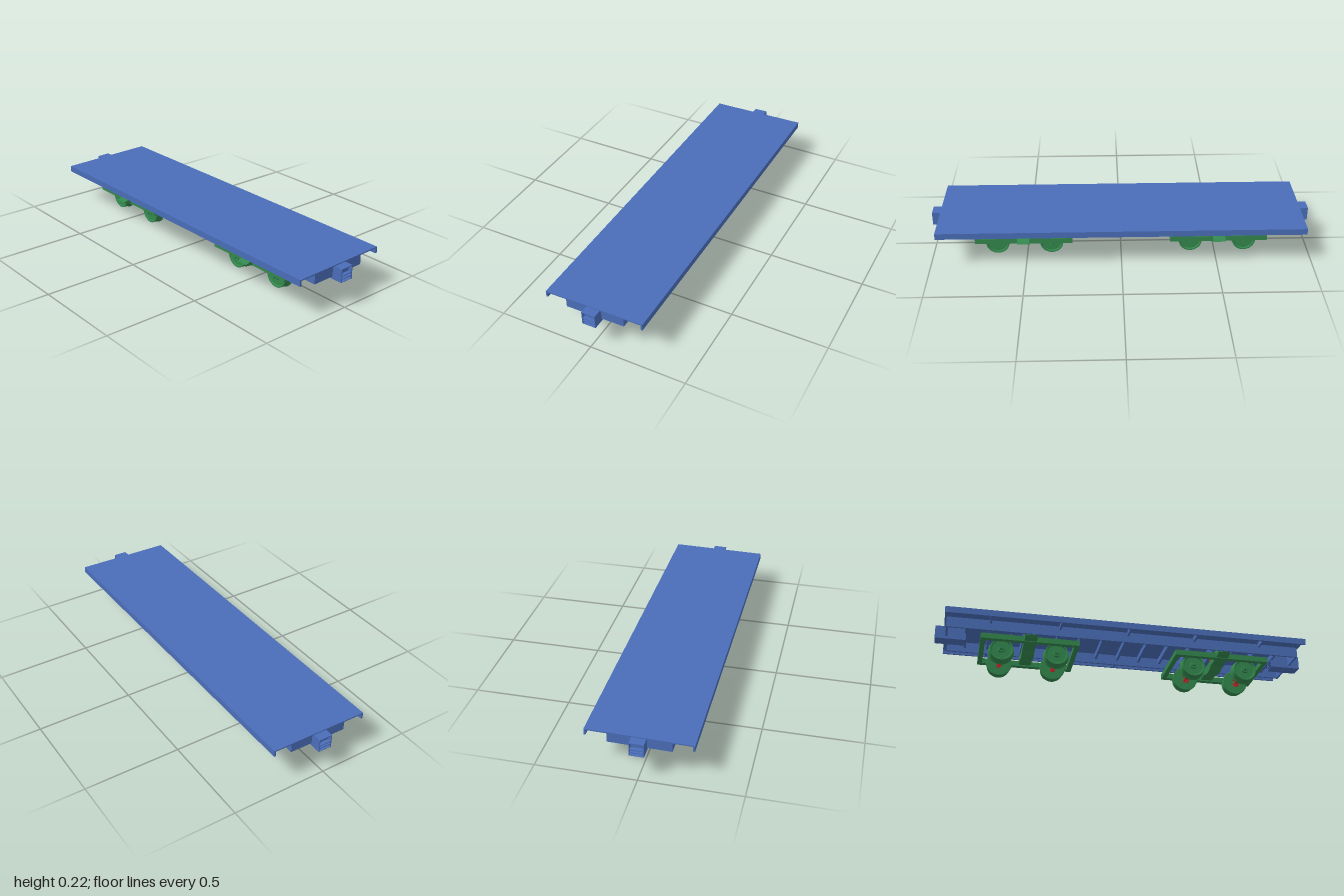
import * as THREE from 'three';
import { toCreasedNormals } from 'three/addons/utils/BufferGeometryUtils.js';

const material = (name, color) => Object.assign(new THREE.MeshStandardMaterial({ color }), { name });
const blue = material('deckBlue', 0x4a6db8);
const green = material('bogieGreen', 0x33874d);
const red = material('brakeRed', 0xcc282c);
const TILT = 0.0175;

function add(parent, name, geometry, mat) {
  const mesh = new THREE.Mesh(geometry, mat);
  mesh.name = name;
  parent.add(mesh);
  return mesh;
}

// box given by its lower and upper limits on each axis
function box(parent, name, mat, [x0, x1], [y0, y1], [z0, z1]) {
  const mesh = add(parent, name, new THREE.BoxGeometry(x1 - x0, y1 - y0, z1 - z0), mat);
  mesh.position.set((x0 + x1) / 2, (y0 + y1) / 2, (z0 + z1) / 2);
  return mesh;
}

// box range mirrored by a sign
const side = (s, a, b) => (s > 0 ? [a, b] : [-b, -a]);

// group that leans slightly about the long axis, pivoting at height y
function tilted(parent, name, y) {
  const pivot = new THREE.Group();
  pivot.name = name;
  pivot.position.y = y;
  pivot.rotation.x = TILT;
  const inner = new THREE.Group();
  inner.position.y = -y;
  pivot.add(inner);
  parent.add(pivot);
  return inner;
}

function buildBody(root) {
  const body = tilted(root, 'body', 0.215);
  box(body, 'deck', blue, [-0.955, 0.955], [0.209, 0.215], [-0.26, 0.26]);
  for (const s of [1, -1]) {
    // outer lips, deep sills and the brackets between them
    box(body, 'sideLip', blue, [-0.955, 0.955], [0.182, 0.21], side(s, 0.251, 0.26));
    box(body, 'centreSill', blue, [-0.945, 0.945], [0.153, 0.21], side(s, 0.145, 0.155));
    for (let i = -2; i <= 2; i++)
      box(body, 'bracket', blue, [i * 0.36 - 0.005, i * 0.36 + 0.005], [0.183, 0.21], side(s, 0.17, 0.252));
    // end sill and body bolster
    box(body, 'endSill', blue, side(s, 0.935, 0.945), [0.153, 0.21], [-0.15, 0.15]);
    box(body, 'bodyBolster', blue, side(s, 0.475, 0.545), [0.16, 0.21], [-0.147, 0.147]);
    buildCoupler(body, s);
  }
  // cross members under the deck
  for (let i = -7; i <= 7; i++)
    box(body, 'crossMember', blue, [i * 0.12 - 0.006, i * 0.12 + 0.006], [0.178, 0.21], [-0.147, 0.147]);
}

// hollow coupler pocket with a shelf inside
function buildCoupler(body, s) {
  const coupler = new THREE.Group();
  coupler.name = 'coupler';
  const x = side(s, 0.84, 1);
  for (const t of [1, -1]) box(coupler, 'couplerCheek', blue, x, [0.14, 0.21], side(t, 0.032, 0.036));
  for (const y of [0.206, 0.171, 0.156])
    box(coupler, 'couplerShelf', blue, x, [y, y + 0.004], [-0.033, 0.033]);
  box(coupler, 'couplerFloor', blue, x, [0.14, 0.142], [-0.033, 0.033]);
  box(coupler, 'couplerBack', blue, side(s, 0.975, 0.98), [0.158, 0.208], [-0.033, 0.033]);
  body.add(coupler);
}

// wheel profile: flange on the inner side, dished outer face, small hub
const wheelGeometry = toCreasedNormals(new THREE.LatheGeometry([
  [0, 0], [0.066, 0], [0.068, 0.003], [0.068, 0.007], [0.063, 0.011], [0.061, 0.05],
  [0.054, 0.05], [0.05, 0.044], [0.02, 0.044], [0.017, 0.052], [0, 0.052],
].map(([r, y]) => new THREE.Vector2(r, y)), 36), 0.6);

function buildWheelset() {
  const set = new THREE.Group();
  set.name = 'wheelset';
  add(set, 'axle', new THREE.CylinderGeometry(0.009, 0.009, 0.274, 20), green).rotation.x = Math.PI / 2;
  for (const s of [1, -1]) {
    const wheel = add(set, 'wheel', wheelGeometry, green);
    wheel.rotation.x = s * Math.PI / 2;
    wheel.position.z = s * 0.066;
    // brake bars above and below the axle
    box(set, 'brakeBar', red, [-0.012, 0.012], side(s, 0.01, 0.018), [-0.072, 0.072]);
    for (const t of [1, -1])
      for (const z of [0.037, 0.058])
        box(set, 'brakeProng', red, [-0.012, 0.012], side(s, 0.009, 0.027), side(t, z - 0.002, z + 0.002));
  }
  const disc = add(set, 'brakeDisc', new THREE.CylinderGeometry(0.026, 0.026, 0.004, 24), red);
  disc.rotation.x = Math.PI / 2 - 0.06;
  disc.position.z = 0.057;
  return set;
}

// wing-shaped beam across the bogie
function bolsterGeometry() {
  const half = [[0.05, 0.132], [0.095, 0.145], [0.12, 0.152], [0.14, 0.152], [0.165, 0.144],
    [0.185, 0.127], [0.2, 0.121], [0.216, 0.118], [0.195, 0.108], [0.17, 0.103], [0.06, 0.1], [0.03, 0.086]];
  const outline = [...half, ...half.map(([z, y]) => [-z, y]).reverse()];
  const shape = new THREE.Shape(outline.map(([z, y]) => new THREE.Vector2(z, y)));
  return new THREE.ExtrudeGeometry(shape, { depth: 0.064, bevelEnabled: false })
    .translate(0, 0, -0.032).rotateY(-Math.PI / 2);
}

function buildBogie(x) {
  const bogie = new THREE.Group();
  bogie.name = 'bogie';
  bogie.position.x = x;
  for (const s of [1, -1]) {
    // rectangular frame
    box(bogie, 'sideRail', green, [-0.255, 0.255], [0.097, 0.126], side(s, 0.142, 0.168));
    box(bogie, 'endBeam', green, side(s, 0.23, 0.255), [0.097, 0.126], [-0.15, 0.15]);
    const set = buildWheelset();
    set.position.set(s * 0.143, 0.068, 0);
    bogie.add(set);
  }
  const swing = tilted(bogie, 'bolsterPivot', 0.13);
  add(swing, 'bolster', bolsterGeometry(), green);
  add(swing, 'kingPin', new THREE.CylinderGeometry(0.022, 0.022, 0.042, 24), red).position.y = 0.144;
  return bogie;
}

export function createModel() {
  const root = new THREE.Group();
  root.name = 'flatWagon';
  buildBody(root);
  for (const s of [1, -1]) root.add(buildBogie(s * 0.512));
  return root;
}
